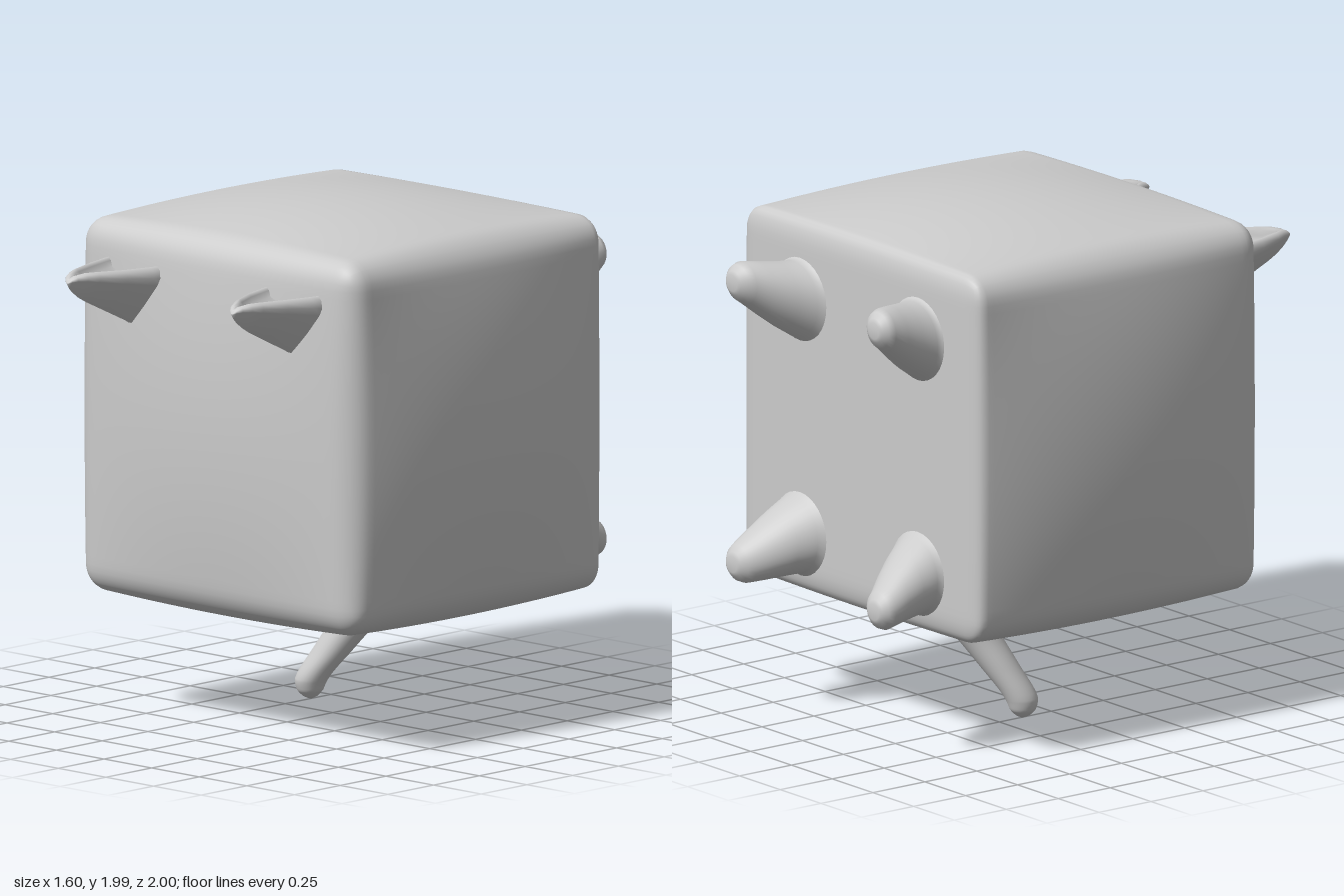
import * as THREE from 'three';
import { mergeVertices } from 'three/addons/utils/BufferGeometryUtils.js';

const material = new THREE.MeshStandardMaterial({ color: 0xcccccc, roughness: 0.7 });

function part(name, geometry) {
  const mesh = new THREE.Mesh(geometry, material);
  mesh.name = name;
  return mesh;
}

// Skin a list of equal-sized rings of [x, y, z]; the last ring is closed
function loft(rings) {
  const n = rings[0].length;
  const last = rings[rings.length - 1];
  const tip = [0, 1, 2].map((k) => last.reduce((sum, p) => sum + p[k], 0) / n);
  const index = [];
  for (let r = 0; r < rings.length - 1; r++) {
    for (let i = 0; i < n; i++) {
      const a = r * n + i, b = r * n + (i + 1) % n;
      index.push(a, b, b + n, a, b + n, a + n);
    }
  }
  const base = (rings.length - 1) * n;
  for (let i = 0; i < n; i++) index.push(base + i, base + (i + 1) % n, rings.length * n);
  const geometry = new THREE.BufferGeometry();
  geometry.setAttribute('position', new THREE.Float32BufferAttribute([...rings.flat(2), ...tip], 3));
  geometry.setIndex(index);
  geometry.computeVertexNormals();
  return geometry;
}

// Smooth spline through rows of numbers
function smoothRows(rows, steps) {
  const a = new THREE.CatmullRomCurve3(rows.map((r) => new THREE.Vector3(r[0], r[1], r[2])));
  const b = new THREE.CatmullRomCurve3(rows.map((r) => new THREE.Vector3(r[3], r[4], 0)));
  return Array.from({ length: steps + 1 }, (_, i) => {
    const p = a.getPoint(i / steps), q = b.getPoint(i / steps);
    return [p.x, p.y, p.z, Math.max(q.x, 0.001), Math.max(q.y, 0.001)];
  });
}

function ring(n, f) {
  return Array.from({ length: n }, (_, i) => {
    const t = (i / n) * Math.PI * 2;
    return f(Math.cos(t), Math.sin(t));
  });
}

// Rounded cube with swollen faces and a flat back
function bodyGeometry() {
  let g = new THREE.BoxGeometry(2, 2, 2, 40, 40, 40);
  g.deleteAttribute('normal');
  g.deleteAttribute('uv');
  g = mergeVertices(g);
  const pos = g.attributes.position;
  const half = [0.725, 0.72, 0.6875];
  for (let i = 0; i < pos.count; i++) {
    const p = [pos.getX(i), pos.getY(i), pos.getZ(i)].map((c, k) => Math.sin(c * Math.PI / 2) * half[k]);
    const radius = [0.1, 0.1, p[2] > 0 ? 0.08 : 0.04];
    const core = p.map((c, k) => THREE.MathUtils.clamp(c, radius[k] - half[k], half[k] - radius[k]));
    const d = p.map((c, k) => (c - core[k]) / radius[k]);
    const len = Math.hypot(...d) || 1;
    const q = core.map((c, k) => c + (d[k] / len) * radius[k]);
    const [u, v, w] = q.map((c, k) => c / half[k]);
    const fu = 1 - u * u, fv = 1 - v * v, fw = 1 - w * w;
    pos.setXYZ(i,
      q[0] + 0.076 * u * fv * fw,
      q[1] + 0.08 * v * fu * fw + 1.19,
      q[2] + 0.055 * Math.max(w, 0) * fu * fv - 0.0425);
  }
  g.computeVertexNormals();
  return g;
}

// Tapered leg leaning outwards from the back face
function legGeometry(side, up) {
  const rows = [
    [0.36, 0.46, -0.715, 0.175], [0.362, 0.46, -0.735, 0.158], [0.368, 0.463, -0.755, 0.148],
    [0.385, 0.487, -0.82, 0.129], [0.406, 0.518, -0.89, 0.106], [0.427, 0.546, -0.95, 0.084],
    [0.431, 0.55, -0.975, 0.07], [0.434, 0.552, -0.993, 0.047], [0.435, 0.552, -1, 0.032],
  ];
  return loft(rows.map(([x, y, z, r]) =>
    ring(32, (c, s) => [side * x + r * c, 1.15 + up * y - r * s, z])));
}

// Curved tail with a flared root
function tailGeometry() {
  const rows = smoothRows([
    [-0.06, 0.46, -0.31, 0.14, 0.16], [-0.08, 0.4, -0.285, 0.112, 0.125],
    [-0.107, 0.33, -0.255, 0.095, 0.09], [-0.18, 0.2, -0.195, 0.08, 0.075],
    [-0.247, 0.08, -0.143, 0.064, 0.064], [-0.254, 0.035, -0.14, 0.05, 0.05],
    [-0.253, 0.01, -0.14, 0.026, 0.026], [-0.25, 0, -0.14, 0.003, 0.003],
  ], 35);
  return loft(rows.map(([x, y, z, rx, rz]) => ring(28, (c, s) => [x + rx * c, y, z + rz * s])));
}

// Pointed keel-shaped ear with a raised rim round a hollow top
function earGeometry(side) {
  // centre x, z, half width, top, bottom
  const rows = [
    [0.417, 0.6, 0.165, 1.778, 1.5], [0.418, 0.65, 0.156, 1.778, 1.525],
    [0.419, 0.69, 0.147, 1.778, 1.55], [0.421, 0.8, 0.116, 1.778, 1.603],
    [0.428, 0.9, 0.075, 1.778, 1.652], [0.431, 0.94, 0.053, 1.776, 1.675],
    [0.432, 0.975, 0.034, 1.767, 1.702], [0.432, 0.992, 0.019, 1.755, 1.72],
    [0.432, 1, 0.006, 1.742, 1.733],
  ];
  return loft(rows.map(([cx, z, w, top, bottom]) => {
    const h = top - bottom, t = Math.min(0.045, w), k = Math.min(1, Math.max(0, (w - 0.03) / 0.05));
    const edge = [
      [0.06 * w, bottom + 0.02 * h], [0.52 * w, bottom + 0.36 * h], [0.92 * w, bottom + 0.7 * h],
      [w, bottom + 0.82 * h], [w - 0.15 * t, top - 0.06 * h], [w - 0.5 * t, top],
      [w - 0.8 * t, top - 0.012 * k], [w - t, top - 0.035 * k], [0.45 * (w - t), top - 0.06 * k],
    ];
    const mirrored = edge.map(([x, y]) => [-x, y]).reverse();
    return [...edge, ...mirrored].map(([x, y]) => [side * cx + x, y, z]);
  }));
}

export function createModel() {
  const model = new THREE.Group();
  model.name = 'cubeAnimal';
  model.add(part('body', bodyGeometry()), part('tail', tailGeometry()));
  for (const side of [1, -1]) {
    const label = side > 0 ? 'left' : 'right';
    model.add(part(label + 'Ear', earGeometry(side)));
    model.add(part(label + 'UpperLeg', legGeometry(side, 1)));
    model.add(part(label + 'LowerLeg', legGeometry(side, -1)));
  }
  return model;
}
